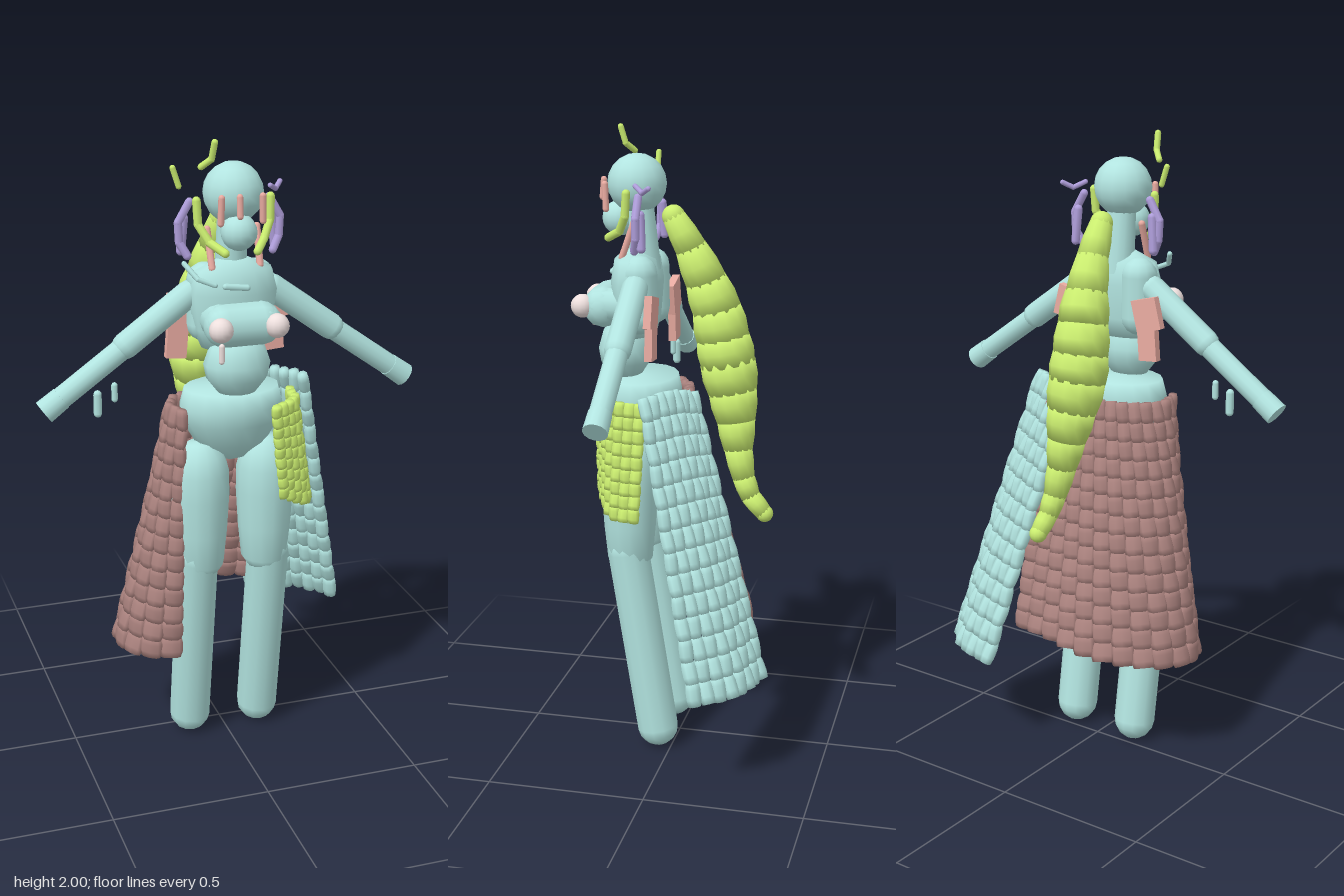
import * as THREE from 'three';
import { mergeGeometries } from 'three/addons/utils/BufferGeometryUtils.js';

const V = (x, y, z) => new THREE.Vector3(x, y, z);
const mat = (color) => new THREE.MeshStandardMaterial({ color });
const UP = V(0, 1, 0);
const lathe = (pts, sides) =>
  new THREE.LatheGeometry(pts.map(([r, y]) => new THREE.Vector2(r, y)), sides);

export function createModel() {
  const root = new THREE.Group();
  const teal = mat(0xb2e4e0), green = mat(0xcbee70), pink = mat(0xeaaca2);
  const brown = mat(0xaa827e), purple = mat(0xb09fdc), pale = mat(0xeee0de);

  const add = (name, geo, material, pos = V(0, 0, 0), scale = V(1, 1, 1)) => {
    const m = new THREE.Mesh(geo, material);
    m.name = name;
    m.position.copy(pos);
    m.scale.copy(scale);
    root.add(m);
    return m;
  };
  const ball = (name, r, pos, material, scale) =>
    add(name, new THREE.SphereGeometry(r, 14, 10), material, pos, scale);
  // Lay a mesh along the segment a-b
  const along = (mesh, a, b) => {
    mesh.position.copy(a).lerp(b, 0.5);
    mesh.quaternion.setFromUnitVectors(UP, b.clone().sub(a).normalize());
    return mesh;
  };
  const capsule = (name, a, b, r, material = teal, sides = 12) =>
    along(add(name, new THREE.CapsuleGeometry(r, a.distanceTo(b), 4, sides), material), a, b);
  const tube = (name, a, b, r0, r1) =>
    along(add(name, new THREE.CylinderGeometry(r1, r0, a.distanceTo(b), 14), teal), a, b);
  // Chain of thin capsules through a list of points
  const strand = (name, pts, r, material) => {
    for (let i = 0; i + 1 < pts.length; i++)
      capsule(name, V(...pts[i]), V(...pts[i + 1]), r, material, 8);
  };
  const mirror = (pts, s) => pts.map(([x, y, z]) => [x * s, y, z]);

  // Head and neck
  ball('head', 0.092, V(0, 1.828, 0.135), teal);
  ball('jaw', 0.055, V(0, 1.72, 0.19), teal);
  tube('neck', V(0, 1.56, 0.11), V(0, 1.78, 0.13), 0.05, 0.045);

  // Torso
  add('chest', lathe([[0, 1.35], [0.1, 1.36], [0.125, 1.42], [0.14, 1.53], [0.12, 1.6],
    [0.05, 1.63], [0, 1.63]], 16), teal, V(0, 0, 0.135), V(1, 1, 0.56));
  add('belly', lathe([[0, 1.22], [0.06, 1.225], [0.095, 1.27], [0.104, 1.315], [0.085, 1.37],
    [0.05, 1.39], [0, 1.395]], 14), teal, V(0, 0, 0.175), V(1, 1, 0.82));
  add('pelvis', lathe([[0, 0.98], [0.06, 1], [0.115, 1.05], [0.155, 1.12], [0.165, 1.17],
    [0.15, 1.225], [0, 1.23]], 16), teal, V(0, 0, 0.12), V(1, 1, 0.74));
  capsule('bust', V(-0.055, 1.45, 0.23), V(0.055, 1.45, 0.23), 0.066);

  const thigh = lathe([[0, 0.61], [0.05, 0.615], [0.073, 0.65], [0.084, 0.76], [0.091, 0.88],
    [0.09, 0.96], [0.075, 1.02], [0.04, 1.055], [0, 1.06]], 14);
  for (const s of [-1, 1]) {
    // Upper body
    capsule('shoulderBlade', V(s * 0.08, 1.43, 0.11), V(s * 0.08, 1.56, 0.11), 0.058);
    capsule('breast', V(s * 0.06, 1.455, 0.16), V(s * 0.065, 1.455, 0.235), 0.055);
    ball('chestBall', 0.037, V(s * 0.087, 1.455, 0.29), pale);

    // Arms
    capsule('upperArm', V(s * 0.13, 1.525, 0.11), V(s * 0.33, 1.38, 0.11), 0.041);
    capsule('forearm', V(s * 0.3, 1.4, 0.11), V(s * 0.53, 1.236, 0.11), 0.034);
    tube('hand', V(s * 0.53, 1.236, 0.11), V(s * 0.585, 1.196, 0.11), 0.036, 0.038);

    // Legs
    add('thigh', thigh, teal, V(s * 0.106, 0, 0.138));
    capsule('shin', V(s * 0.118, 0.67, 0.142), V(s * 0.118, 0.068, 0.047), 0.067);

    // Back flaps
    const flapTop = add('backFlap', new THREE.BoxGeometry(0.09, 0.1, 0.024), pink, V(s * 0.15, 1.455, 0.055));
    const flapLow = add('backFlap', new THREE.BoxGeometry(0.065, 0.1, 0.024), pink, V(s * 0.155, 1.36, 0.055));
    flapTop.rotation.z = s * 0.25;
    flapLow.rotation.z = s * 0.08;

    // Locks framing the face
    strand('purpleLock', mirror([[0.125, 1.8, 0.1], [0.16, 1.74, 0.1], [0.157, 1.68, 0.1], [0.135, 1.64, 0.11]], s), 0.013, purple);
    strand('purpleLock', mirror([[0.14, 1.75, 0.09], [0.148, 1.65, 0.085]], s), 0.014, purple);
    strand('greenLock', mirror([[0.115, 1.81, 0.14], [0.112, 1.74, 0.145], [0.085, 1.69, 0.17], [0.05, 1.665, 0.215]], s), 0.013, green);
    strand('pinkLock', mirror([[0.078, 1.72, 0.125], [0.075, 1.61, 0.165]], s), 0.011, pink);
    strand('pinkFringe', mirror([[0.063, 1.83, 0.22], [0.065, 1.755, 0.217]], s), 0.01, pink);
  }

  // Single small ornaments
  strand('pinkFringe', [[-0.016, 1.835, 0.245], [-0.016, 1.78, 0.25]], 0.01, pink);
  strand('greenSprig', [[-0.08, 1.99, 0.207], [-0.085, 1.94, 0.193], [-0.11, 1.915, 0.17]], 0.01, green);
  strand('greenSprig', [[-0.178, 1.905, 0.11], [-0.16, 1.85, 0.11]], 0.009, green);
  strand('purpleSprig', [[0.125, 1.835, 0.108], [0.152, 1.818, 0.08], [0.175, 1.835, 0.055]], 0.008, purple);
  strand('collarStrap', [[-0.16, 1.63, 0.16], [-0.13, 1.59, 0.2], [-0.08, 1.57, 0.21]], 0.008, teal);
  strand('collarStrap', [[-0.045, 1.562, 0.205], [0.02, 1.555, 0.21]], 0.01, teal);
  ball('throatBead', 0.015, V(0, 1.6, 0.16), green);
  strand('chestPendant', [[-0.09, 1.41, 0.305], [-0.09, 1.365, 0.305]], 0.009, pale);
  strand('charm', [[-0.42, 1.235, 0.11], [-0.42, 1.175, 0.11]], 0.013, teal);
  strand('charm', [[-0.367, 1.258, 0.11], [-0.367, 1.215, 0.11]], 0.01, teal);

  // Ponytail: overlapping barrel segments [x, y, z, radius]
  const tail = [
    [0, 1.73, 0.02, 0.036], [-0.005, 1.63, -0.035, 0.052], [-0.015, 1.53, -0.08, 0.068],
    [-0.025, 1.44, -0.112, 0.081], [-0.03, 1.35, -0.132, 0.089], [-0.03, 1.27, -0.148, 0.091],
    [-0.022, 1.18, -0.166, 0.08], [-0.012, 1.09, -0.18, 0.064], [0, 1.0, -0.19, 0.048],
    [0.012, 0.91, -0.21, 0.037], [0.02, 0.85, -0.235, 0.032], [0.025, 0.8, -0.28, 0.028]];
  for (let i = 0; i + 1 < tail.length; i++) {
    const [x0, y0, z0, r0] = tail[i], [x1, y1, z1, r1] = tail[i + 1];
    const a = V(x0, y0, z0), b = V(x1, y1, z1), h = a.distanceTo(b) * 0.55;
    const barrel = lathe([[0, -h], [r0 * 0.96, -h], [(r0 + r1) * 0.515, 0], [r1 * 0.96, h], [0, h]], 12);
    along(add('ponytail', barrel, green), a, b);
  }
  ball('ponytailRoot', 0.036, V(0, 1.73, 0.02), green);
  ball('ponytailTip', 0.028, V(0.025, 0.798, -0.282), green);

  // Cloth panels: rows of flattened barrels between a top and a bottom curve
  const cell = lathe([[0, -0.5], [0.42, -0.5], [0.5, -0.2], [0.5, 0.2], [0.42, 0.5], [0, 0.5]], 8);
  const cloth = (name, top, bottom, cols, rows, thick, material) => {
    const ct = new THREE.CatmullRomCurve3(top.map((p) => V(...p)));
    const cb = new THREE.CatmullRomCurve3(bottom.map((p) => V(...p)));
    const at = (u, v) => ct.getPointAt(u).lerp(cb.getPointAt(u), v);
    const parts = [];
    for (let i = 0; i < cols; i++) for (let j = 0; j < rows; j++) {
      const u0 = i / cols, u1 = (i + 1) / cols, v0 = j / rows, v1 = (j + 1) / rows;
      const um = (u0 + u1) / 2, vm = (v0 + v1) / 2;
      const down = at(um, v0).sub(at(um, v1)), across = at(u1, vm).sub(at(u0, vm));
      const h = down.length(), w = across.length();
      const y = down.normalize();
      const n = across.clone().cross(y).normalize();
      const x = y.clone().cross(n);
      const m = new THREE.Matrix4().makeBasis(x, y, n).setPosition(at(um, vm));
      // Alternate lean gives the woven look
      m.multiply(new THREE.Matrix4().makeRotationX((i + j) % 2 ? 0.14 : -0.1));
      m.scale(V(w * 1.2, h * 1.12, thick));
      parts.push(cell.clone().applyMatrix4(m));
    }
    add(name, mergeGeometries(parts), material);
  };

  cloth('rearSkirt',
    [[-0.165, 1.175, 0.185], [-0.19, 1.175, 0.1], [-0.165, 1.175, 0.04], [-0.1, 1.175, -0.005],
      [0, 1.175, -0.025], [0.09, 1.175, -0.03], [0.175, 1.175, -0.035]],
    [[-0.185, 0.35, 0.175], [-0.28, 0.35, 0.15], [-0.35, 0.35, 0.04], [-0.325, 0.36, -0.07],
      [-0.24, 0.37, -0.15], [-0.12, 0.39, -0.21], [0.04, 0.42, -0.22], [0.19, 0.42, -0.195]],
    14, 14, 0.032, brown);
  cloth('sideDrape',
    [[0.065, 1.19, -0.065], [0.18, 1.22, -0.01], [0.275, 1.21, 0.06]],
    [[0.2, 0.32, -0.32], [0.37, 0.32, -0.26], [0.475, 0.32, -0.14]],
    8, 14, 0.04, teal);
  cloth('hipApron',
    [[0.21, 1.18, 0.06], [0.19, 1.18, 0.165], [0.095, 1.18, 0.245]],
    [[0.27, 0.82, 0.07], [0.24, 0.82, 0.16], [0.13, 0.88, 0.225]],
    7, 9, 0.032, green);

  return root;
}
